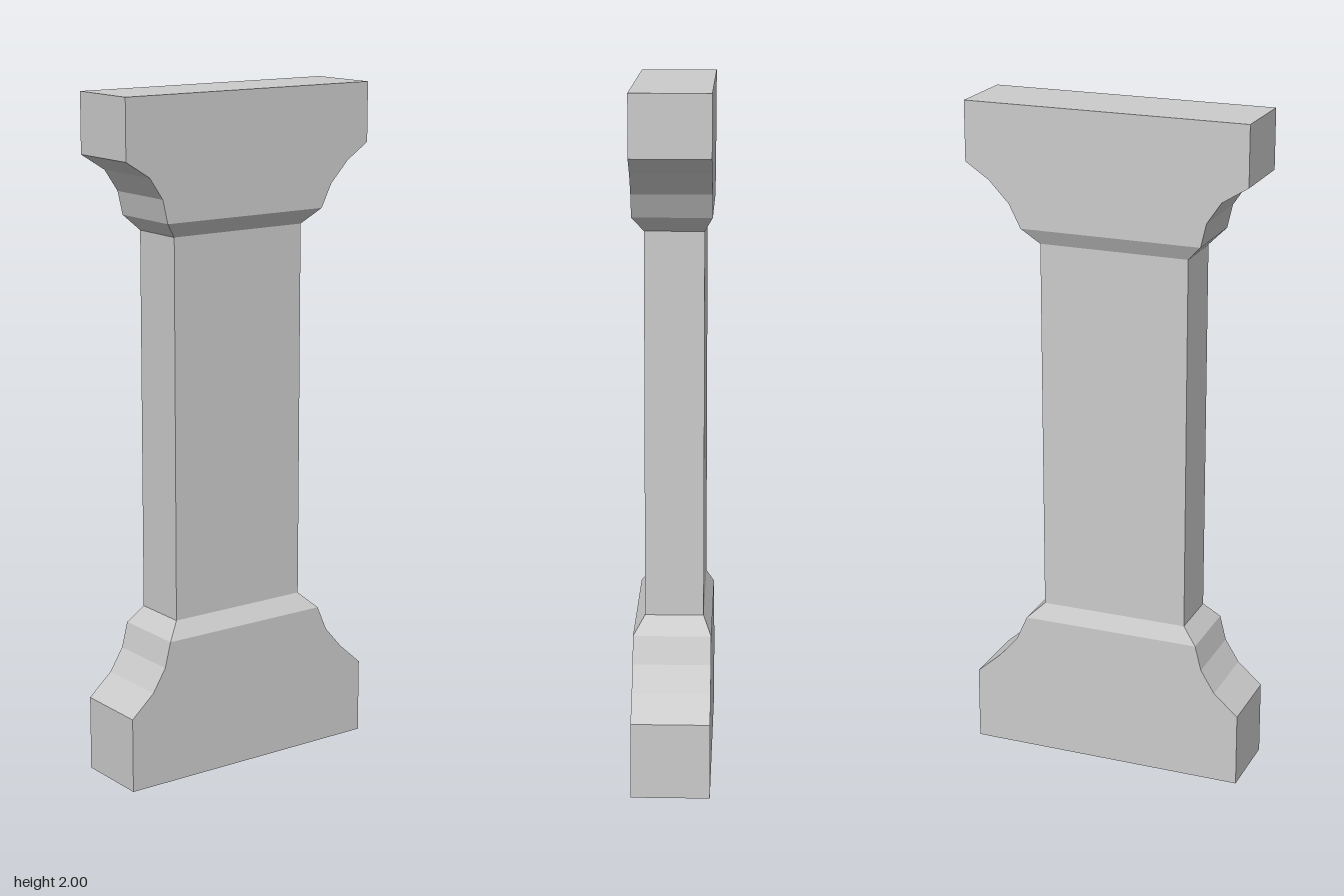
import * as THREE from 'three';

const material = new THREE.MeshStandardMaterial({
  color: 0xcccccc, flatShading: true, side: THREE.DoubleSide,
});

// Rectangular cross-sections, bottom to top: [y, xMin, xMax, zMin, zMax]
const WIDE = [-0.113, 0.113], NARROW = [-0.09, 0.08];
const baseSections = [
  [0, ...WIDE, -0.42, 0.42],
  [0.222, ...WIDE, -0.42, 0.42],
  [0.287, ...WIDE, -0.347, 0.347],
  [0.355, ...WIDE, -0.288, 0.305],
  [0.43, ...WIDE, -0.255, 0.286],
  [0.478, ...NARROW, -0.204, 0.242],
];
const capitalSections = [
  [1.6, ...NARROW, -0.204, 0.242],
  [1.645, ...WIDE, -0.255, 0.286],
  [1.714, ...WIDE, -0.29, 0.302],
  [1.777, ...WIDE, -0.35, 0.345],
  [1.825, ...WIDE, -0.422, 0.422],
  [2, ...WIDE, -0.422, 0.422],
];

// Skins consecutive rectangles with flat walls; the top may be capped
function loft(name, sections, capTop = false) {
  const rings = sections.map(([y, x0, x1, z0, z1]) => [
    [x0, y, z1], [x1, y, z1], [x1, y, z0], [x0, y, z0],
  ]);
  const positions = [];
  const quad = (a, b, c, d) => positions.push(...a, ...b, ...c, ...a, ...c, ...d);
  for (let i = 0; i < rings.length - 1; i++) {
    for (let k = 0; k < 4; k++) {
      const n = (k + 1) % 4;
      quad(rings[i][k], rings[i][n], rings[i + 1][n], rings[i + 1][k]);
    }
  }
  if (capTop) quad(...rings[rings.length - 1]);
  const geometry = new THREE.BufferGeometry();
  geometry.setAttribute('position', new THREE.Float32BufferAttribute(positions, 3));
  geometry.computeVertexNormals();
  const mesh = new THREE.Mesh(geometry, material);
  mesh.name = name;
  return mesh;
}

export function createModel() {
  const group = new THREE.Group();
  group.name = 'pillar';
  group.add(
    loft('base', baseSections), // hollow, open underneath
    loft('shaft', [baseSections[5], capitalSections[0]]),
    loft('capital', capitalSections, true),
  );
  return group;
}
